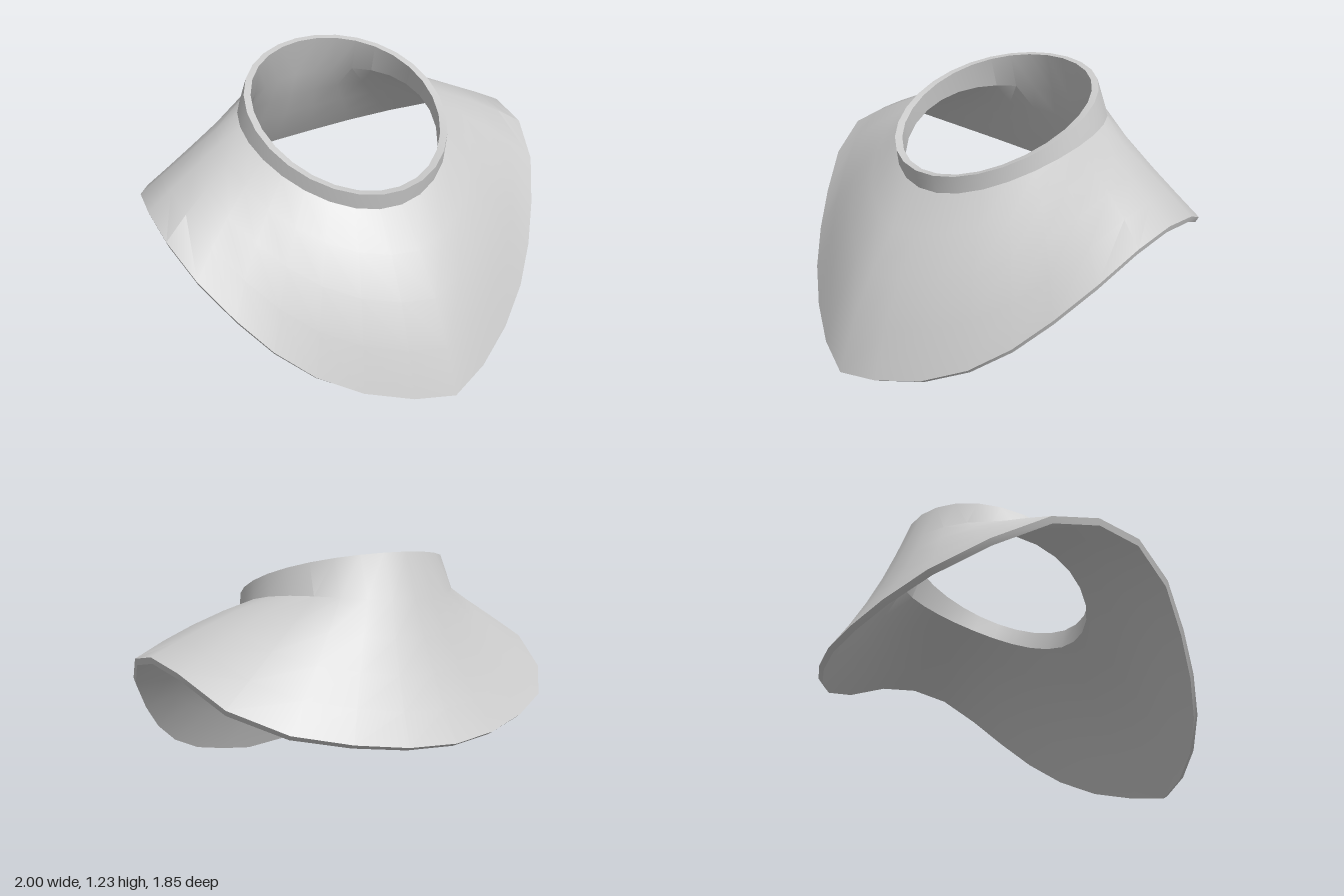
import * as THREE from 'three';
import { toCreasedNormals } from 'three/addons/utils/BufferGeometryUtils.js';

const HALF = 14, N = HALF * 2;

// Hem of the mantle on the left half, front to back: x, y, z
const HEM = [
  [0, 0.02, 0.925], [0.2, 0.06, 0.87], [0.41, 0.125, 0.77], [0.59, 0.225, 0.655], [0.73, 0.35, 0.53],
  [0.84, 0.49, 0.4], [0.94, 0.645, 0.25], [0.995, 0.765, 0.07], [1, 0.8, -0.13], [0.97, 0.76, -0.34],
  [0.875, 0.64, -0.565], [0.69, 0.55, -0.74], [0.46, 0.5, -0.84], [0.23, 0.467, -0.9], [0, 0.455, -0.925],
];

// One closed loop around the neck from a rule giving a point for each angle
function loop(rule) {
  return Array.from({ length: N }, (_, i) => {
    const a = (i / N) * Math.PI * 2;
    return rule(Math.sin(a), Math.cos(a), i);
  });
}

// Tilted oval whose height follows a quadratic from front (c = 1) to back (c = -1)
const oval = (rx, rz, cz, y0, y1, y2) =>
  loop((s, c) => new THREE.Vector3(rx * s, y0 + y1 * c + y2 * c * c, cz + rz * c));

function createShell() {
  const rim = oval(0.475, 0.502, -0.068, 1.095, -0.165, -0.03);
  const rimInner = oval(0.442, 0.468, -0.07, 1.092, -0.165, -0.03);
  const base = oval(0.496, 0.53, -0.11, 1.015, -0.11, -0.095);
  const baseInner = oval(0.455, 0.488, -0.108, 0.99, -0.11, -0.09);
  const hem = loop((s, c, i) => {
    const [x, y, z] = HEM[i <= HALF ? i : N - i];
    return new THREE.Vector3(i <= HALF ? x : -x, y, z);
  });
  // Inside edge of the hem: moved in at front and back, down at the shoulders
  const hemInner = loop((s, c, i) => hem[i].clone().add(
    new THREE.Vector3(-0.008 * s, -0.015 - 0.015 * s * s, -0.024 * c)));

  // Mantle loops between neck and hem: full at the chest, slightly hollow at the back
  const between = (from, to, t) => loop((s, c, i) => {
    const bulge = (0.018 + 0.035 * c) * 4 * t * (1 - t);
    return from[i].clone().lerp(to[i], t).add(
      new THREE.Vector3(0.5 * s * bulge, bulge, 0.8 * Math.abs(c) * c * bulge));
  });
  const steps = [0.25, 0.5, 0.75];
  const rings = [
    rim, base, ...steps.map((t) => between(base, hem, t)), hem,
    hemInner, ...steps.map((t) => between(hemInner, baseInner, t)), baseInner, rimInner,
  ];

  // Skin the closed cross-section all the way round
  const index = [];
  const R = rings.length;
  for (let r = 0; r < R; r++) {
    for (let i = 0; i < N; i++) {
      const j = (i + 1) % N, q = (r + 1) % R;
      const a = r * N + i, b = r * N + j, c = q * N + j, d = q * N + i;
      // Mirror the diagonals so both halves match
      if (i < HALF) index.push(a, d, b, b, d, c);
      else index.push(a, d, c, a, c, b);
    }
  }
  const geometry = new THREE.BufferGeometry().setFromPoints(rings.flat());
  geometry.setIndex(index);
  return toCreasedNormals(geometry, THREE.MathUtils.degToRad(28));
}

export function createModel() {
  const group = new THREE.Group();
  group.name = 'neckGuard';
  const shell = new THREE.Mesh(createShell(), new THREE.MeshStandardMaterial({ color: 0xcccccc }));
  shell.name = 'collarAndMantle';
  group.add(shell);
  return group;
}
